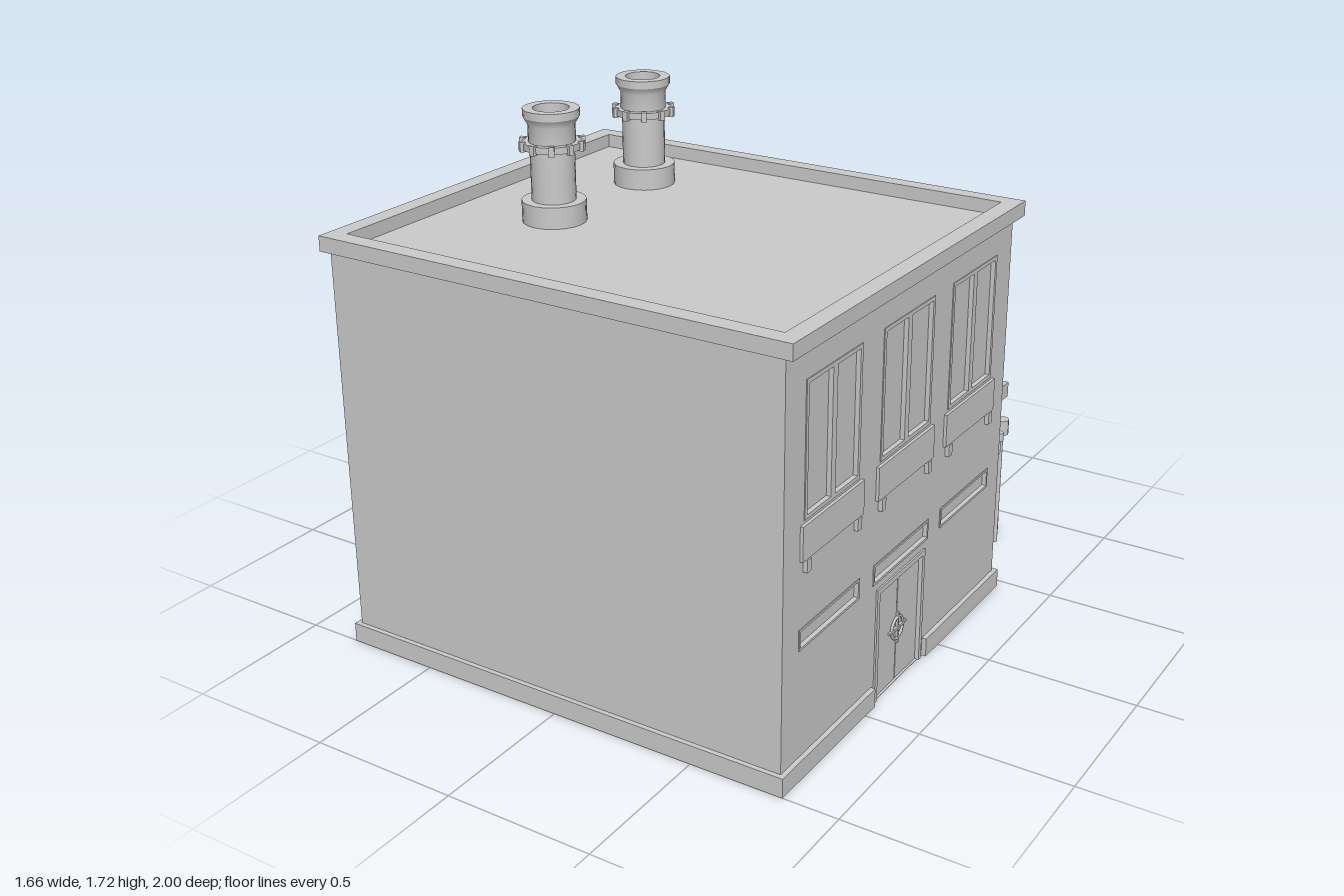
import * as THREE from 'three';

const mat = new THREE.MeshStandardMaterial({ color: 0xcccccc, side: THREE.DoubleSide });

function add(parent, geo, name, x = 0, y = 0, z = 0) {
  const m = new THREE.Mesh(geo, mat);
  m.name = name;
  m.position.set(x, y, z);
  parent.add(m);
  return m;
}
// box given by its limits
function block(parent, name, x0, x1, y0, y1, z0, z1) {
  return add(parent, new THREE.BoxGeometry(x1 - x0, y1 - y0, z1 - z0), name,
    (x0 + x1) / 2, (y0 + y1) / 2, (z0 + z1) / 2);
}
function rect(Type, x0, x1, y0, y1) {
  return new Type([[x0, y0], [x1, y0], [x1, y1], [x0, y1]].map(p => new THREE.Vector2(...p)));
}
// a side of the building: local z points outward, local x runs to the right
function face(parent, name, x, z, rot) {
  const g = new THREE.Group();
  g.name = name;
  g.position.set(x, 0, z);
  g.rotation.y = rot;
  parent.add(g);
  return g;
}
function wall(f, outline, holes = []) {
  const s = new THREE.Shape(outline.map(p => new THREE.Vector2(...p)));
  s.holes = holes.map(h => rect(THREE.Path, ...h));
  add(f, new THREE.ExtrudeGeometry(s, { depth: 0.02, bevelEnabled: false }), 'wall', 0, 0, -0.02);
}
const plain = (u0, u1, h) => [[u0, 0], [u1, 0], [u1, h], [u0, h]];
const plinth = (f, u0, u1, h = 0.065) => block(f, 'plinth', u0, u1, 0, h, -0.01, 0.016);

function frame(f, name, u0, u1, y0, y1, w, z) {
  const s = rect(THREE.Shape, u0, u1, y0, y1);
  s.holes.push(rect(THREE.Path, u0 + w, u1 - w, y0 + w, y1 - w));
  add(f, new THREE.ExtrudeGeometry(s, { depth: 0.02, bevelEnabled: false }), name, 0, 0, z - 0.02);
}
// tall two-pane window with apron and feet
function tallWindow(f, u0, u1) {
  const mid = (u0 + u1) / 2;
  block(f, 'windowPane', u0, u1, 0.83, 1.25, -0.02, -0.012);
  frame(f, 'windowFrame', u0, mid, 0.83, 1.25, 0.013, 0.003);
  frame(f, 'windowFrame', mid, u1, 0.83, 1.25, 0.013, 0.003);
  block(f, 'windowApron', u0 - 0.02, u1 + 0.02, 0.71, 0.82, -0.01, 0.01);
  for (const u of [u0 + 0.01, u1 - 0.01])
    block(f, 'apronFoot', u - 0.012, u + 0.012, 0.67, 0.71, -0.01, 0.014);
}
// parapet ring with a sunken roof; outer and inner limits are [x0, x1, z0, z1]
function roof(parent, name, o, i, y0, y1) {
  const s = rect(THREE.Shape, o[0], o[1], -o[3], -o[2]);
  s.holes.push(rect(THREE.Path, i[0], i[1], -i[3], -i[2]));
  const geo = new THREE.ExtrudeGeometry(s, { depth: y1 - y0, bevelEnabled: false }).rotateX(-Math.PI / 2);
  add(parent, geo, name + 'Parapet', 0, y0, 0);
  block(parent, name + 'Roof', i[0] - 0.02, i[1] + 0.02, y0 - 0.01, y0 + 0.005, i[2] - 0.02, i[3] + 0.02);
}
function tube(parent, name, r, pts) {
  const path = new THREE.CurvePath();
  const v = pts.map(p => new THREE.Vector3(...p));
  for (let k = 1; k < v.length; k++) path.add(new THREE.LineCurve3(v[k - 1], v[k]));
  add(parent, new THREE.TubeGeometry(path, 30, r, 8), name);
}

function mainHall(root) {
  const hall = new THREE.Group();
  hall.name = 'mainHall';
  root.add(hall);
  const H = 1.37, Q = Math.PI / 2;

  const front = face(hall, 'frontSide', 0, 0.985, 0);
  wall(front, plain(-0.8, 0.8, H));
  plinth(front, -0.816, 0.816);

  const left = face(hall, 'blankSide', -0.8, 0, -Q);
  wall(left, plain(-0.447, 0.985, H));
  plinth(left, -0.463, 1);

  // window side with the double door
  const side = face(hall, 'windowSide', 0.8, 0, Q);
  const bays = [[-0.895, -0.54], [-0.45, -0.085], [0, 0.355]];
  const door = [-0.42, -0.11, 0.002, 0.395];
  const tall = bays.map(([a, b]) => [a + 0.02, b - 0.02, 0.83, 1.25]);
  const low = bays.map(([a, b]) => [a, b, 0.424, 0.493]);
  wall(side, plain(-0.985, 0.447, H), [...tall, ...low, door]);
  tall.forEach(w => tallWindow(side, w[0], w[1]));
  for (const w of low) {
    block(side, 'lowWindowPane', w[0], w[1], w[2], w[3], -0.02, -0.012);
    frame(side, 'lowWindowFrame', ...w, 0.008, 0.003);
  }
  plinth(side, -1, -0.44);
  plinth(side, -0.09, 0.463);
  block(side, 'doorLeaf', -0.42, -0.267, 0, 0.395, -0.02, -0.008);
  block(side, 'doorLeaf', -0.263, -0.11, 0, 0.395, -0.02, -0.008);
  block(side, 'doorPost', -0.425, -0.408, 0, 0.395, -0.01, 0.006);
  block(side, 'doorPost', -0.122, -0.105, 0, 0.395, -0.01, 0.006);
  block(side, 'doorLintel', -0.425, -0.105, 0.38, 0.398, -0.01, 0.006);
  add(side, new THREE.TorusGeometry(0.038, 0.005, 6, 16), 'doorWheel', -0.265, 0.19, -0.004);
  for (const a of [0, Q])
    add(side, new THREE.BoxGeometry(0.11, 0.008, 0.008), 'wheelSpoke', -0.265, 0.19, -0.004).rotation.z = a;

  // back wall, stepped around the two annexes
  const back = face(hall, 'backSide', 0, -0.447, Math.PI);
  wall(back, [[-0.8, 0], [-0.62, 0], [-0.62, 0.53], [-0.16, 0.53], [-0.16, 0.74], [0.71, 0.74],
    [0.71, 0], [0.8, 0], [0.8, H], [-0.8, H]], [[-0.68, -0.34, 0.83, 1.25]]);
  tallWindow(back, -0.68, -0.34);
  plinth(back, -0.816, -0.62);
  plinth(back, 0.71, 0.816);

  roof(hall, 'main', [-0.83, 0.83, -0.47, 1], [-0.77, 0.77, -0.415, 0.94], 1.35, 1.4);
}

function annexes(root) {
  const Q = Math.PI / 2;
  const big = new THREE.Group();
  big.name = 'largeAnnex';
  root.add(big);
  const bl = face(big, 'outerSide', -0.71, 0, -Q);
  wall(bl, plain(-0.982, -0.447, 0.77));
  plinth(bl, -0.998, -0.447, 0.057);
  const bb = face(big, 'backSide', 0, -0.982, Math.PI);
  wall(bb, plain(-0.16, 0.71, 0.77));
  plinth(bb, -0.176, 0.726, 0.057);
  const br = face(big, 'innerSide', 0.16, 0, Q);
  wall(br, [[0.83, 0], [0.982, 0], [0.982, 0.77], [0.447, 0.77], [0.447, 0.53], [0.83, 0.53]]);
  plinth(br, 0.84, 0.998, 0.057);
  roof(big, 'largeAnnex', [-0.73, 0.177, -1, -0.447], [-0.682, 0.133, -0.96, -0.49], 0.745, 0.81);

  const small = new THREE.Group();
  small.name = 'smallAnnex';
  root.add(small);
  const sr = face(small, 'pipeSide', 0.625, 0, Q);
  wall(sr, plain(0.447, 0.84, 0.56));
  plinth(sr, 0.447, 0.5, 0.057);
  plinth(sr, 0.79, 0.856, 0.057);
  // back of the small annex with shutter door and its housing
  const sb = face(small, 'shutterSide', 0, -0.84, Math.PI);
  wall(sb, plain(-0.625, -0.16, 0.56), [[-0.55, -0.23, 0.002, 0.37]]);
  block(sb, 'shutter', -0.55, -0.23, 0, 0.37, -0.02, -0.01);
  block(sb, 'shutterHousing', -0.57, -0.22, 0.37, 0.415, 0, 0.038);
  block(sb, 'housingLip', -0.54, -0.25, 0.378, 0.407, 0.03, 0.055);
  plinth(sb, -0.641, -0.56, 0.057);
  plinth(sb, -0.22, -0.16, 0.057);
  roof(small, 'smallAnnex', [0.16, 0.645, -0.862, -0.447], [0.177, 0.602, -0.822, -0.45], 0.535, 0.59);
}

function utilities(root) {
  const g = new THREE.Group();
  g.name = 'utilityPipes';
  root.add(g);
  const cyl = (name, r, h, x, y, z) => add(g, new THREE.CylinderGeometry(r, r, h, 12), name, x, y, z);
  // vent pipe with cap
  cyl('ventPipe', 0.008, 0.44, 0.67, 0.22, -0.765);
  cyl('ventCap', 0.025, 0.055, 0.67, 0.46, -0.765);
  // gas line with valve
  tube(g, 'gasPipe', 0.009, [[0.69, 0.39, -0.45], [0.69, 0.39, -0.70], [0.69, 0.45, -0.70]]);
  cyl('gasCap', 0.016, 0.03, 0.69, 0.45, -0.70);
  for (const z of [-0.5, -0.55, -0.61, -0.66])
    cyl('pipeCollar', 0.016, 0.012, 0.69, 0.39, z).rotation.x = Math.PI / 2;
  block(g, 'valveBody', 0.675, 0.705, 0.372, 0.408, -0.598, -0.565);
  tube(g, 'valveStem', 0.007, [[0.69, 0.39, -0.52], [0.735, 0.39, -0.52]]);
  add(g, new THREE.TorusGeometry(0.018, 0.005, 6, 12), 'valveWheel', 0.735, 0.39, -0.52).rotation.y = Math.PI / 2;
  // wall boxes
  block(g, 'backPlate', 0.62, 0.66, 0.375, 0.455, -0.625, -0.505);
  block(g, 'meterBox', 0.62, 0.685, 0.235, 0.35, -0.63, -0.52);
  block(g, 'meterHinge', 0.62, 0.665, 0.28, 0.34, -0.52, -0.51);
  tube(g, 'meterPipe', 0.008, [[0.66, 0.34, -0.58], [0.66, 0.39, -0.58], [0.69, 0.39, -0.58]]);
}

function chimney(root, x, z) {
  const g = new THREE.Group();
  g.name = 'chimney';
  g.position.set(x, 0, z);
  root.add(g);
  const lathe = (name, pts) =>
    add(g, new THREE.LatheGeometry(pts.map(p => new THREE.Vector2(...p)), 20), name);
  lathe('chimneyBase', [[0.103, 1.34], [0.103, 1.425]]);
  lathe('chimneyLedge', [[0.103, 1.425], [0.07, 1.425]]);
  lathe('chimneyShaft', [[0.071, 1.425], [0.071, 1.6]]);
  lathe('chimneyNeck', [[0.075, 1.6], [0.075, 1.67], [0.09, 1.695]]);
  lathe('chimneyRim', [[0.09, 1.695], [0.09, 1.72]]);
  lathe('chimneyLip', [[0.09, 1.72], [0.058, 1.72]]);
  lathe('chimneyFlue', [[0.058, 1.72], [0.058, 1.63]]);
  lathe('flueFloor', [[0.058, 1.63], [0, 1.63]]);
  // clamp ring with lugs
  add(g, new THREE.CylinderGeometry(0.098, 0.098, 0.022, 10), 'clampRing', 0, 1.604, 0);
  for (let k = 0; k < 10; k++) {
    const a = k * Math.PI / 5;
    const lug = add(g, new THREE.BoxGeometry(0.018, 0.032, 0.018), 'clampLug',
      Math.sin(a) * 0.097, 1.604, Math.cos(a) * 0.097);
    lug.rotation.y = a;
  }
}

export function createModel() {
  const root = new THREE.Group();
  root.name = 'building';
  mainHall(root);
  annexes(root);
  utilities(root);
  for (const z of [-0.12, 0.38]) chimney(root, -0.41, z);
  return root;
}
